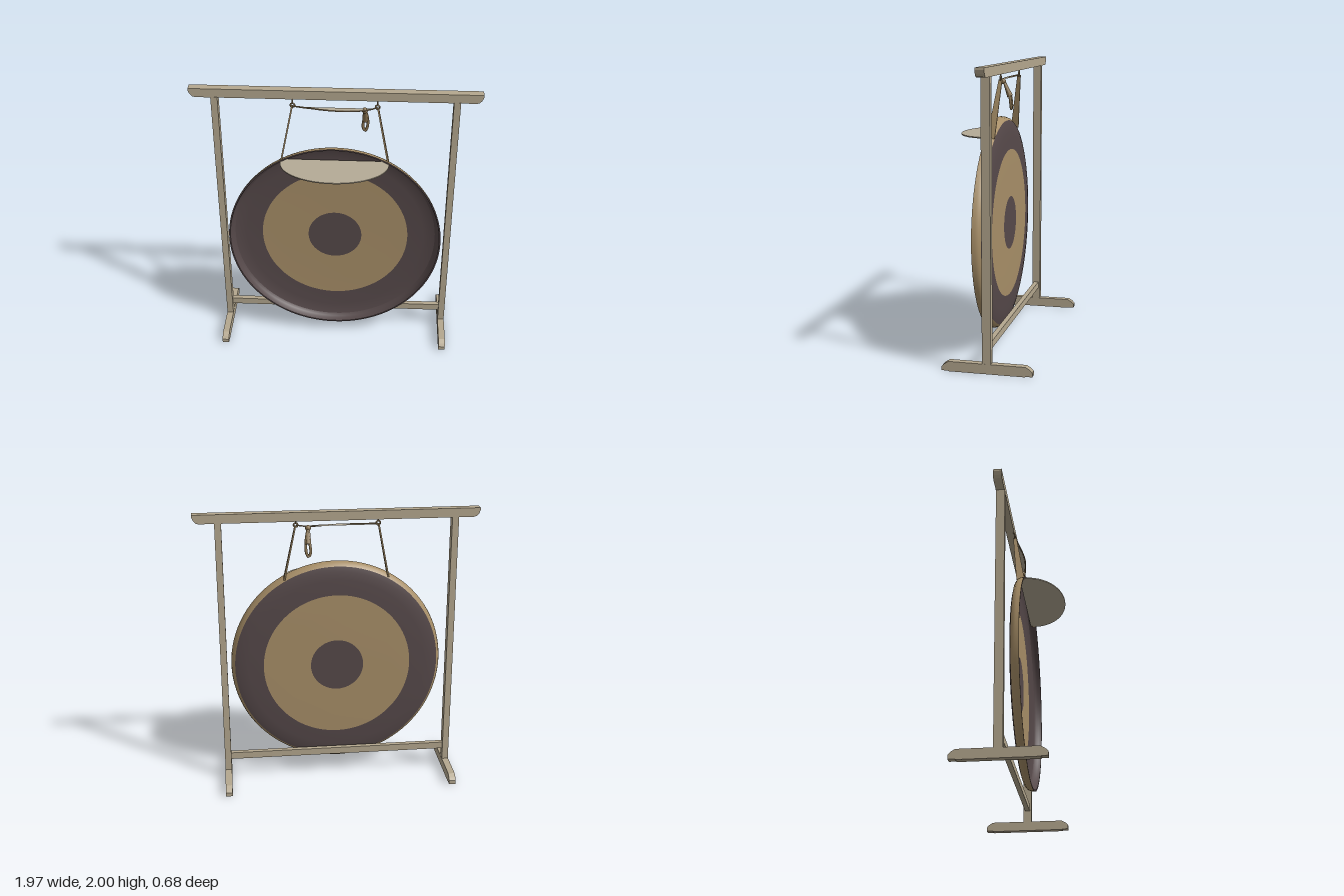
import * as THREE from 'three';

const material = (name, color, side = THREE.FrontSide) => {
  const m = new THREE.MeshStandardMaterial({ color, side });
  m.name = name;
  return m;
};

export function createModel() {
  const wood = material('pale wood', 0xb5a88f);
  const bronze = material('bronze', 0xa88f68, THREE.DoubleSide);
  const dark = material('dark patina', 0x56494a, THREE.DoubleSide);
  const rope = material('rope', 0x8a7452);
  const cloth = material('pale cloth', 0xb5ab96, THREE.DoubleSide);

  const model = new THREE.Group();
  model.name = 'gongOnStand';
  const add = (name, geometry, mat, x = 0, y = 0, z = 0, parent = model) => {
    const mesh = new THREE.Mesh(geometry, mat);
    mesh.name = name;
    mesh.position.set(x, y, z);
    parent.add(mesh);
    return mesh;
  };
  const shapeOf = (pts) => new THREE.Shape(pts.map(([a, b]) => new THREE.Vector2(a, b)));
  const slab = (pts, depth) =>
    new THREE.ExtrudeGeometry(shapeOf(pts), { depth, bevelEnabled: false }).translate(0, 0, -depth / 2);
  const cord = (pts, radius, closed = false) =>
    new THREE.TubeGeometry(
      new THREE.CatmullRomCurve3(pts.map((p) => new THREE.Vector3(...p)), closed), 32, radius, 8, closed);

  // Stand: top beam with rounded lower ends, lower rail, posts and feet
  const half = [[0.94, 1.937], [0.96, 1.943], [0.975, 1.96], [0.985, 1.985], [0.985, 2]];
  const mirrored = half.map(([x, y]) => [-x, y]).reverse();
  add('topBeam', slab([...half, ...mirrored], 0.06), wood, 0, 0, -0.035);
  add('lowerRail', new THREE.BoxGeometry(1.59, 0.05, 0.035), wood, 0, 0.175, -0.033);
  const footProfile = [
    [-0.29, 0], [0.225, 0], [0.23, 0.004], [0.272, 0.004], [0.272, 0.032], [0.255, 0.05], [0.225, 0.068],
    [-0.295, 0.068], [-0.325, 0.05], [-0.34, 0.032], [-0.34, 0.004], [-0.295, 0.004],
  ];
  for (const [side, s] of [['left', 1], ['right', -1]]) {
    add(side + 'Post', new THREE.BoxGeometry(0.046, 1.88, 0.06), wood, s * 0.813, 1.0, -0.033);
    add(side + 'Foot', slab(footProfile, 0.048).rotateY(-Math.PI / 2), wood, s * 0.813);
  }

  // Gong: shallow dish open to the front, painted in concentric zones
  const gong = new THREE.Group();
  gong.name = 'gong';
  gong.position.set(0, 0.848, 0);
  model.add(gong);
  const zone = (name, pts, mat) => {
    const g = new THREE.LatheGeometry(pts.map(([r, z]) => new THREE.Vector2(r, z)), 96);
    add(name, g.rotateX(Math.PI / 2), mat, 0, 0, 0, gong);
  };
  zone('backCentre', [[0, 0], [0.19, 0]], dark);
  zone('backBand', [[0.19, 0], [0.4, 0.001], [0.53, 0.003]], bronze);
  zone('backOuterBand', [[0.53, 0.003], [0.64, 0.008], [0.7, 0.016], [0.735, 0.026]], dark);
  zone('rimWall', [[0.735, 0.026], [0.752, 0.04], [0.759, 0.06], [0.762, 0.085]], bronze);
  zone('rimLip', [[0.762, 0.085], [0.752, 0.085]], dark);
  zone('innerWall', [[0.752, 0.085], [0.747, 0.06], [0.738, 0.044], [0.722, 0.032]], dark);
  zone('frontOuterBand', [[0.722, 0.032], [0.69, 0.023], [0.64, 0.016], [0.525, 0.011]], dark);
  zone('frontBand', [[0.525, 0.011], [0.4, 0.009], [0.192, 0.008]], bronze);
  zone('frontCentre', [[0.192, 0.008], [0, 0.008]], dark);

  // Straps taper from the rim up to the rings under the beam
  for (const [side, s] of [['left', 1], ['right', -1]]) {
    const strap = new THREE.BoxGeometry(0.011, 1, 1, 1, 1, 1);
    const p = strap.attributes.position;
    for (let i = 0; i < p.count; i++) {
      const t = p.getY(i) + 0.5, w = p.getZ(i) + 0.5;
      const back = THREE.MathUtils.lerp(0.022, -0.012, t);
      const front = THREE.MathUtils.lerp(0.078, 0.012, t);
      p.setXYZ(i, p.getX(i) + s * THREE.MathUtils.lerp(0.368, 0.288, t),
        THREE.MathUtils.lerp(1.495, 1.89, t), THREE.MathUtils.lerp(back, front, w));
    }
    strap.computeVertexNormals();
    add(side + 'Strap', strap, bronze);
    add(side + 'Ring', new THREE.TorusGeometry(0.014, 0.006, 8, 20), rope, s * 0.285, 1.897, 0);
    add(side + 'Hook', cord([[s * 0.285, 1.908, 0], [s * 0.285, 1.93, -0.004], [s * 0.285, 1.945, -0.02]], 0.005), rope);
  }

  // Cross cord, with the thin cloth web that bows forward from it
  add('crossCord', cord([[-0.285, 1.892, 0.004], [0, 1.882, 0.04], [0.2, 1.88, 0.02], [0.285, 1.895, 0.004]], 0.005), rope);
  const web = new THREE.Shape();
  web.moveTo(-0.285, 0);
  web.quadraticCurveTo(0, -0.084, 0.285, 0);
  web.closePath();
  add('upperWeb', new THREE.ShapeGeometry(web, 24).rotateX(-Math.PI / 2), cloth, 0, 1.885, 0);

  // Half-oval shelf between the strap ends
  const shelf = new THREE.Shape();
  shelf.moveTo(-0.355, -0.045);
  shelf.lineTo(-0.373, -0.085);
  shelf.absellipse(0, -0.085, 0.373, 0.253, Math.PI, Math.PI * 2, false);
  shelf.lineTo(0.355, -0.045);
  shelf.closePath();
  add('shelf', new THREE.ExtrudeGeometry(shelf, { depth: 0.008, bevelEnabled: false, curveSegments: 40 })
    .rotateX(-Math.PI / 2), cloth, 0, 1.495, 0);

  // Knotted loop of spare rope behind the cross cord
  add('loopKnot', new THREE.SphereGeometry(0.02, 16, 10), rope, 0.2, 1.872, 0.004);
  add('hangingLoop', cord([
    [0.2, 1.865, -0.005], [0.22, 1.78, -0.045], [0.217, 1.71, -0.055], [0.203, 1.685, -0.055],
    [0.189, 1.71, -0.055], [0.193, 1.78, -0.045],
  ], 0.01, true), rope);
  const wrap = add('loopWrap', new THREE.CylinderGeometry(0.011, 0.021, 0.085, 12), rope, 0.204, 1.81, -0.03);
  wrap.rotation.x = 0.4;
  return model;
}
